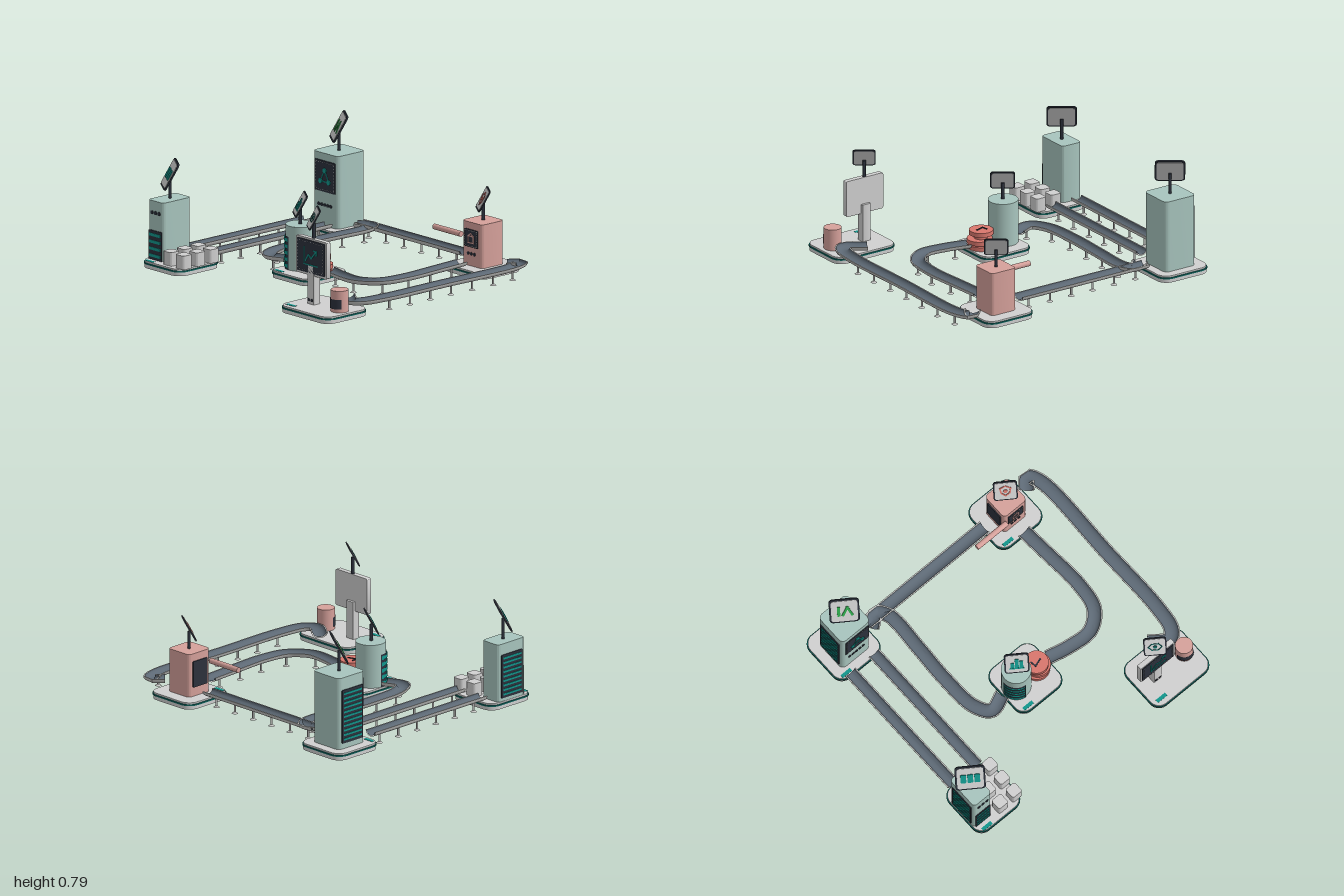
import * as THREE from 'three';
import { toCreasedNormals } from 'three/addons/utils/BufferGeometryUtils.js';

const mat = (name, color, side = THREE.FrontSide) => Object.assign(new THREE.MeshStandardMaterial({ color, side }), { name });
const M = {
  grey: mat('light grey', 0xd0d0d0), rail: mat('rail grey', 0xc4c4c2, THREE.DoubleSide),
  sage: mat('sage', 0xa8c5be), pink: mat('dusty pink', 0xd6a19b), salmon: mat('salmon', 0xd9776d),
  dark: mat('charcoal', 0x2c313c, THREE.DoubleSide), teal: mat('teal', 0x12968c, THREE.DoubleSide),
  rim: mat('deep teal', 0x0f625c), belt: mat('slate belt', 0x5d6975, THREE.DoubleSide), green: mat('green', 0x2fa84c),
};

function add(parent, name, geo, material, x = 0, y = 0, z = 0) {
  const m = new THREE.Mesh(geo, material);
  m.name = name;
  m.position.set(x, y, z);
  parent.add(m);
  return m;
}
function group(parent, name, x = 0, y = 0, z = 0) {
  const g = new THREE.Group();
  g.name = name;
  g.position.set(x, y, z);
  parent.add(g);
  return g;
}

// Rounded rectangle in XY, extruded from z = 0 to z = d
function slab(w, h, r, d) {
  const s = new THREE.Shape(), a = w / 2 - r, b = h / 2 - r;
  s.absarc(a, b, r, 0, Math.PI / 2);
  s.absarc(-a, b, r, Math.PI / 2, Math.PI);
  s.absarc(-a, -b, r, Math.PI, Math.PI * 1.5);
  s.absarc(a, -b, r, Math.PI * 1.5, Math.PI * 2);
  s.closePath();
  return toCreasedNormals(new THREE.ExtrudeGeometry(s, { depth: d, bevelEnabled: false, curveSegments: 6 }), 0.6);
}
// The same lying flat, extruded upwards
const block = (w, d, r, h) => slab(w, d, r, h).rotateX(-Math.PI / 2);
const cyl = (r, h, n = 32) => new THREE.CylinderGeometry(r, r, h, n);

// Thin stroke between two points, for icons
function stroke(parent, material, x1, y1, x2, y2, t = 0.008) {
  const m = add(parent, 'iconStroke', new THREE.BoxGeometry(Math.hypot(x2 - x1, y2 - y1) + t, t, 0.004),
    material, (x1 + x2) / 2, (y1 + y2) / 2, 0.002);
  m.rotation.z = Math.atan2(y2 - y1, x2 - x1);
}
function poly(parent, material, pts, t) {
  for (let i = 1; i < pts.length; i++) stroke(parent, material, ...pts[i - 1], ...pts[i], t);
}
function dots(parent, n, step, x, y, z, r = 0.011) {
  for (let i = 0; i < n; i++)
    add(parent, 'button', cyl(r, 0.008, 12).rotateX(Math.PI / 2), M.dark, x + (i - (n - 1) / 2) * step, y, z);
}
// Charcoal screen with a dashed border
function screen(parent, w, h, x, y, z) {
  const g = group(parent, 'screen', x, y, z);
  add(g, 'screenPlate', slab(w, h, 0.008, 0.006), M.dark);
  const f = group(g, 'dashedBorder', 0, 0, 0.005);
  for (const s of [-1, 1]) for (let i = -4; i <= 4; i++) {
    stroke(f, M.grey, i * w * 0.1, s * h * 0.44, i * w * 0.1 + 0.005, s * h * 0.44, 0.002);
    stroke(f, M.grey, s * w * 0.45, i * h * 0.1, s * w * 0.45, i * h * 0.1 + 0.005, 0.002);
  }
  return group(g, 'icon', 0, 0, 0.006);
}
// Charcoal panel with teal slats
function vent(parent, w, h, n, x, y, z, turn = 0) {
  const g = group(parent, 'vent', x, y, z);
  g.rotation.y = turn;
  add(g, 'ventPlate', slab(w, h, 0.006, 0.006), M.dark);
  for (let i = 0; i < n; i++)
    add(g, 'ventSlat', new THREE.BoxGeometry(w * 0.86, h / n * 0.4, 0.006), M.teal, 0, ((i + 0.5) / n - 0.5) * h * 0.94, 0.006);
}

// Base plate with a teal rim and a small tag
function platform(root, name, x, z, w = 0.39, tag = 0.13) {
  const g = group(root, name, x, 0, z);
  add(g, 'base', block(w - 0.01, 0.38, 0.075, 0.028), M.grey);
  add(g, 'rim', block(w, 0.39, 0.08, 0.01), M.rim, 0, 0.026);
  add(g, 'topPlate', block(w - 0.014, 0.376, 0.073, 0.011), M.grey, 0, 0.036);
  add(g, 'tag', new THREE.BoxGeometry(0.08, 0.002, 0.025), M.teal, -w / 2 + 0.08, 0.048, tag + 0.03);
  return g;
}

// Tilted sign on a pole; returns the group that holds its icon
function sign(parent, x, y, z, s, pole) {
  add(parent, 'signPole', cyl(0.011, pole, 12), M.dark, x, y - 0.02 - pole / 2, z);
  const g = group(parent, 'sign', x, y, z);
  g.rotation.set(-0.5, -0.61, 0, 'YXZ');
  g.scale.setScalar(s);
  add(g, 'signFrame', slab(0.2, 0.2, 0.026, 0.01), M.dark, 0, 0, -0.005);
  for (const e of [-1, 1]) {
    const p = add(g, 'signFace', slab(0.176, 0.176, 0.018, 0.003), M.grey, 0, 0, e * 0.005);
    if (e < 0) p.rotation.y = Math.PI;
  }
  return group(g, 'signIcon', 0, 0, 0.008);
}

// Sweep an open profile of [side, height] points along a level curve
function sweep(curve, profile, n) {
  const pos = [], idx = [], k = profile.length;
  for (let i = 0; i <= n; i++) {
    const p = curve.getPointAt(i / n), t = curve.getTangentAt(i / n);
    for (const [s, y] of profile) pos.push(p.x - t.z * s, y, p.z + t.x * s);
    if (i < n) for (let j = 0; j < k - 1; j++) {
      const a = i * k + j, b = a + k;
      idx.push(a, b, a + 1, b, b + 1, a + 1);
    }
  }
  const g = new THREE.BufferGeometry();
  g.setAttribute('position', new THREE.Float32BufferAttribute(pos, 3));
  g.setIndex(idx);
  return toCreasedNormals(g, 0.7);
}
// Half-pipe conveyor on small feet
function conveyor(root, pts, half, legs, from = 0.08, to = 0.92) {
  const g = group(root, 'conveyor');
  const v = pts.map(([x, z]) => new THREE.Vector3(x, 0, z));
  const curve = v.length === 2 ? new THREE.LineCurve3(...v) : new THREE.CatmullRomCurve3(v, false, 'centripetal');
  const arc = (a, b) => Array.from({ length: 13 }, (_, i) => [-a * Math.cos(i * Math.PI / 12), 0.1 - b * Math.sin(i * Math.PI / 12)]);
  const inner = arc(half - 0.009, 0.03), n = v.length === 2 ? 1 : 70;
  add(g, 'trough', sweep(curve, [inner[0], ...arc(half, 0.038), inner[12]], n), M.rail);
  add(g, 'beltSurface', sweep(curve, inner, n), M.belt);
  for (let i = 0; i < legs; i++) {
    const p = curve.getPointAt(from + (to - from) * i / (legs - 1));
    add(g, 'leg', cyl(0.007, 0.065, 8), M.rail, p.x, 0.035, p.z);
    add(g, 'foot', new THREE.CylinderGeometry(0.008, 0.022, 0.01, 12), M.rail, p.x, 0.005, p.z);
  }
}

export function createModel() {
  const root = new THREE.Group();
  root.name = 'productionLine';

  // Supply station with crates
  const s1 = platform(root, 'supplyStation', -0.775, 0.645, 0.39, 0.14);
  add(s1, 'supplyTower', block(0.15, 0.245, 0.025, 0.4), M.sage, -0.11, 0.045);
  vent(s1, 0.125, 0.2, 4, -0.11, 0.145, 0.122);
  vent(s1, 0.19, 0.3, 9, -0.185, 0.22, 0, -Math.PI / 2);
  dots(s1, 3, 0.034, -0.11, 0.365, 0.123, 0.013);
  for (const x of [0.04, 0.16]) for (const z of [-0.12, 0, 0.12]) add(s1, 'crate', block(0.08, 0.08, 0.015, 0.093), M.grey, x, 0.046, z);
  const i1 = sign(s1, -0.11, 0.605, -0.005, 1, 0.14);
  for (const x of [-0.046, 0, 0.046]) add(i1, 'iconBlock', slab(0.038, 0.07, 0.008, 0.005), M.teal, x);

  // Processing station with the tall tower
  const s2 = platform(root, 'processingStation', -0.775, -0.755);
  add(s2, 'processingTower', block(0.246, 0.246, 0.035, 0.495), M.sage, 0.005, 0.045);
  const net = screen(s2, 0.2, 0.21, 0.008, 0.385, 0.123);
  const tri = [[-0.04, -0.035], [0, 0.04], [0.04, -0.035]];
  poly(net, M.teal, [...tri, tri[0]], 0.007);
  tri.forEach(([x, y]) => add(net, 'node', cyl(0.017, 0.006, 16).rotateX(Math.PI / 2), M.teal, x, y, 0.003));
  dots(s2, 5, 0.029, 0.003, 0.19, 0.125);
  vent(s2, 0.19, 0.37, 11, -0.118, 0.27, 0, -Math.PI / 2);
  const i2 = sign(s2, 0.005, 0.7, 0, 1, 0.15);
  add(i2, 'iconPost', slab(0.02, 0.08, 0.004, 0.005), M.green, -0.038);
  poly(i2, M.green, [[-0.01, -0.033], [0.02, 0.033], [0.05, -0.033]], 0.016);

  // Packing station with the pink tower and side pipe
  const s3 = platform(root, 'packingStation', 0.625, -0.755);
  add(s3, 'packingTower', block(0.197, 0.197, 0.028, 0.298), M.pink, 0.004, 0.045);
  const pack = screen(s3, 0.13, 0.12, 0, 0.235, 0.099);
  poly(pack, M.pink, [[-0.025, 0.015], [-0.025, -0.03], [0.025, -0.03], [0.025, 0.015], [-0.025, 0.015], [0, 0.032], [0.025, 0.015]], 0.007);
  dots(s3, 3, 0.03, 0, 0.13, 0.1);
  add(s3, 'sidePanel', slab(0.13, 0.18, 0.008, 0.008), M.dark, -0.094, 0.2, 0).rotation.y = -Math.PI / 2;
  add(s3, 'outletPipe', cyl(0.019, 0.26, 20).rotateZ(Math.PI / 2), M.pink, -0.215, 0.25, 0.112);
  const i3 = sign(s3, 0.002, 0.482, -0.003, 0.8, 0.13);
  poly(i3, M.salmon, [[0, 0.055], [0.045, 0.03], [0.035, -0.02], [0, -0.05], [-0.035, -0.02], [-0.045, 0.03], [0, 0.055]], 0.012);
  add(i3, 'iconCore', cyl(0.018, 0.005, 16).rotateX(Math.PI / 2), M.salmon, 0, 0, 0.002);

  // Storage station with the round tank and stacked discs
  const s4 = platform(root, 'storageStation', -0.022, 0.195);
  add(s4, 'tank', cyl(0.1, 0.3, 48), M.sage, -0.08, 0.195, 0);
  const arcBand = (r, h, start, len) => new THREE.CylinderGeometry(r, r, h, 24, 1, true, start, len);
  add(s4, 'tankPanel', arcBand(0.104, 0.225, -1.65, 1.6), M.dark, -0.08, 0.16, 0);
  for (let i = 0; i < 5; i++) add(s4, 'tankSlat', arcBand(0.109, 0.027, -1.6, 1.5), M.teal, -0.08, 0.073 + i * 0.044, 0);
  add(s4, 'discShaft', cyl(0.045, 0.11, 24), M.salmon, 0.1, 0.1, 0);
  [[0.097, 0.06, 0.088], [0.108, 0.1, 0.085], [0.096, 0.157, 0.08]].forEach(([x, y, r]) =>
    add(s4, 'disc', cyl(r, 0.03, 40), M.salmon, x, y, 0));
  const mark = group(s4, 'discMark', 0.097, 0.172, 0);
  mark.rotation.x = -Math.PI / 2;
  poly(mark, M.dark, [[-0.03, 0.02], [-0.025, -0.018], [0.03, 0]], 0.01);
  const i4 = sign(s4, -0.08, 0.477, 0.005, 0.82, 0.12);
  [0.05, 0.09, 0.07].forEach((h, i) => add(i4, 'iconBar', slab(0.03, h, 0.005, 0.005), M.teal, (i - 1) * 0.036, h / 2 - 0.04));
  stroke(i4, M.teal, -0.055, -0.048, 0.055, -0.048, 0.012);

  // Monitoring station with the display and canister
  const s5 = platform(root, 'monitoringStation', 0.725, 0.745, 0.49, 0.11);
  add(s5, 'displayStand', block(0.068, 0.06, 0.01, 0.26), M.grey, -0.1, 0.045);
  add(s5, 'displayBody', slab(0.295, 0.25, 0.012, 0.036), M.grey, -0.098, 0.365, -0.012);
  const chart = screen(s5, 0.268, 0.222, -0.098, 0.367, 0.024);
  poly(chart, M.teal, [[-0.062, 0.06], [-0.062, -0.055], [0.066, -0.055]], 0.007);
  poly(chart, M.teal, [[-0.045, -0.03], [-0.018, 0.012], [0.008, -0.01], [0.058, 0.045]], 0.009);
  poly(chart, M.teal, [[0.032, 0.045], [0.058, 0.045], [0.058, 0.02]], 0.008);
  dots(s5, 2, 0.03, -0.1, 0.075, 0.03, 0.01);
  add(s5, 'canister', cyl(0.059, 0.148, 36), M.pink, 0.152, 0.119, 0);
  add(s5, 'canisterBand', arcBand(0.064, 0.065, -1.5, 2.5), M.dark, 0.152, 0.103, 0);
  const i5 = sign(s5, -0.1, 0.625, 0, 0.76, 0.13);
  for (const e of [-1, 1]) poly(i5, M.rim, [[-0.06, 0], [-0.03, e * 0.034], [0.03, e * 0.034], [0.06, 0]], 0.008);
  add(i5, 'iconPupil', cyl(0.017, 0.005, 16).rotateX(Math.PI / 2), M.rim, 0, 0, 0.002);

  // Conveyors between the stations
  conveyor(root, [[-0.877, 0.46], [-0.877, -0.57]], 0.045, 6);
  conveyor(root, [[-0.674, 0.46], [-0.674, -0.57]], 0.045, 6);
  conveyor(root, [[-0.57, -0.76], [0.45, -0.76]], 0.05, 6);
  conveyor(root, [[-0.565, -0.715], [-0.48, -0.768], [-0.428, -0.7], [-0.43, -0.4], [-0.44, -0.13], [-0.42, 0.14], [-0.35, 0.24], [-0.225, 0.2]], 0.052, 6, 0.18);
  conveyor(root, [[0.17, 0.2], [0.33, 0.235], [0.5, 0.24], [0.62, 0.14], [0.655, -0.05], [0.64, -0.35], [0.625, -0.57]], 0.052, 6);
  conveyor(root, [[0.83, -0.78], [0.89, -0.84], [0.937, -0.75], [0.94, -0.1], [0.94, 0.4], [0.91, 0.58], [0.855, 0.625], [0.735, 0.55]], 0.054, 7, 0.12, 0.75);
  return root;
}
